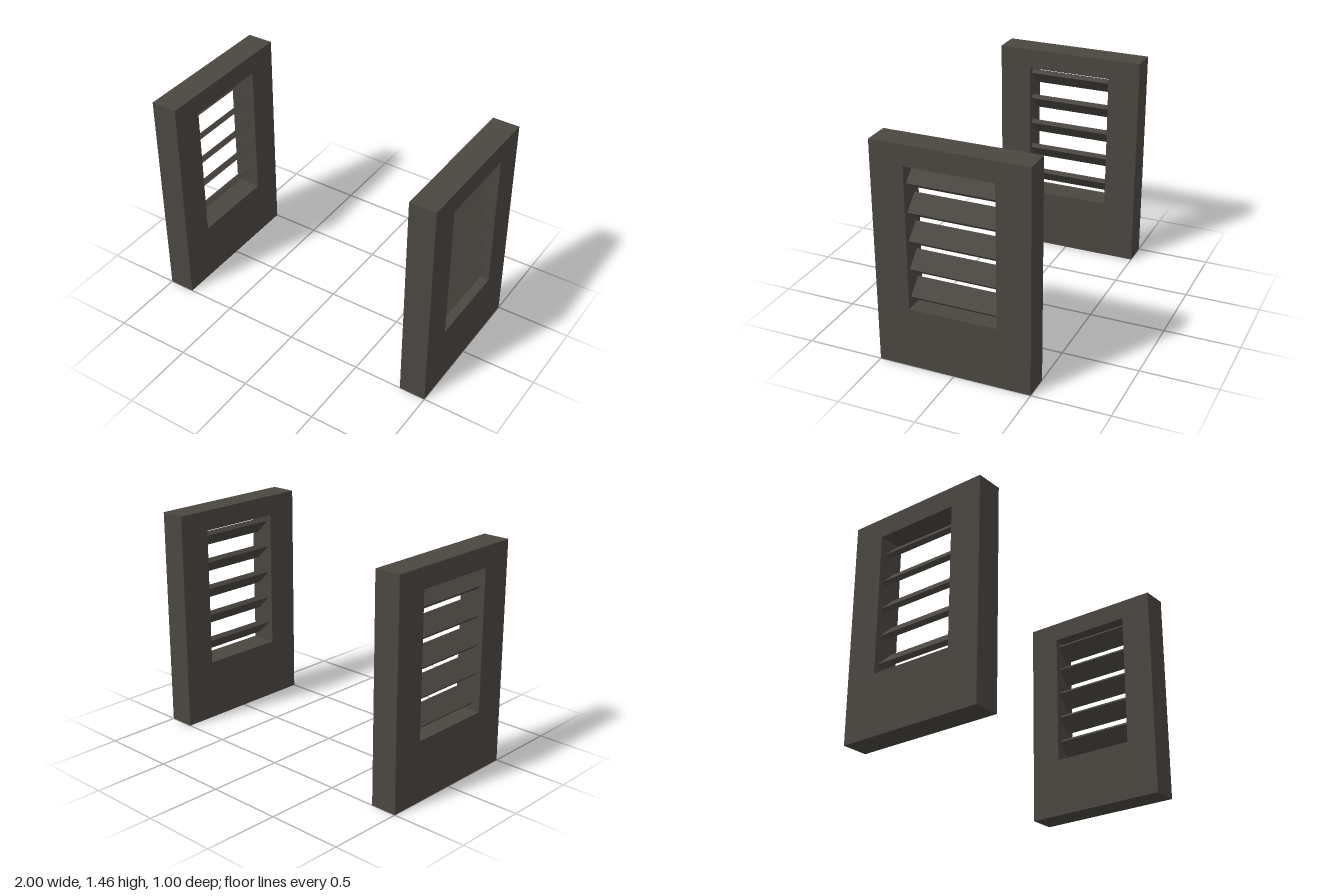
import * as THREE from 'three';

const HEIGHT = 1.46, DEPTH = 1, THICK = 0.175;
const OPEN_HALF = 0.285, OPEN_LOW = 0.4, OPEN_HIGH = 1.327;

export function createModel() {
  const model = new THREE.Group();
  model.name = 'louvredPanels';
  const darkMetal = new THREE.MeshStandardMaterial({ color: 0x4a4640 });
  darkMetal.name = 'darkMetal';

  // Frame outline (x = depth, y = height) with the vent opening cut out
  const outline = new THREE.Shape();
  outline.moveTo(-DEPTH / 2, 0).lineTo(DEPTH / 2, 0);
  outline.lineTo(DEPTH / 2, HEIGHT).lineTo(-DEPTH / 2, HEIGHT).closePath();
  const opening = new THREE.Path();
  opening.moveTo(-OPEN_HALF, OPEN_LOW).lineTo(-OPEN_HALF, OPEN_HIGH);
  opening.lineTo(OPEN_HALF, OPEN_HIGH).lineTo(OPEN_HALF, OPEN_LOW).closePath();
  outline.holes.push(opening);
  const frameGeometry = new THREE.ExtrudeGeometry(outline, { depth: THICK, bevelEnabled: false });
  frameGeometry.translate(0, 0, -THICK / 2).rotateY(Math.PI / 2);

  const slatGeometry = new THREE.BoxGeometry(0.134, 0.0325, OPEN_HALF * 2);

  // Two mirrored panels, slats sloping down towards the outside
  for (const side of [-1, 1]) {
    const panel = new THREE.Group();
    panel.name = side > 0 ? 'leftPanel' : 'rightPanel';
    panel.position.x = side * (1 - THICK / 2);

    const frame = new THREE.Mesh(frameGeometry, darkMetal);
    frame.name = 'frame';
    panel.add(frame);

    for (let i = 0; i < 5; i++) {
      const slat = new THREE.Mesh(slatGeometry, darkMetal);
      slat.name = 'slat' + (i + 1);
      slat.position.y = 0.506 + i * 0.185;
      slat.rotation.z = -side * Math.PI / 4;
      panel.add(slat);
    }
    model.add(panel);
  }
  return model;
}
